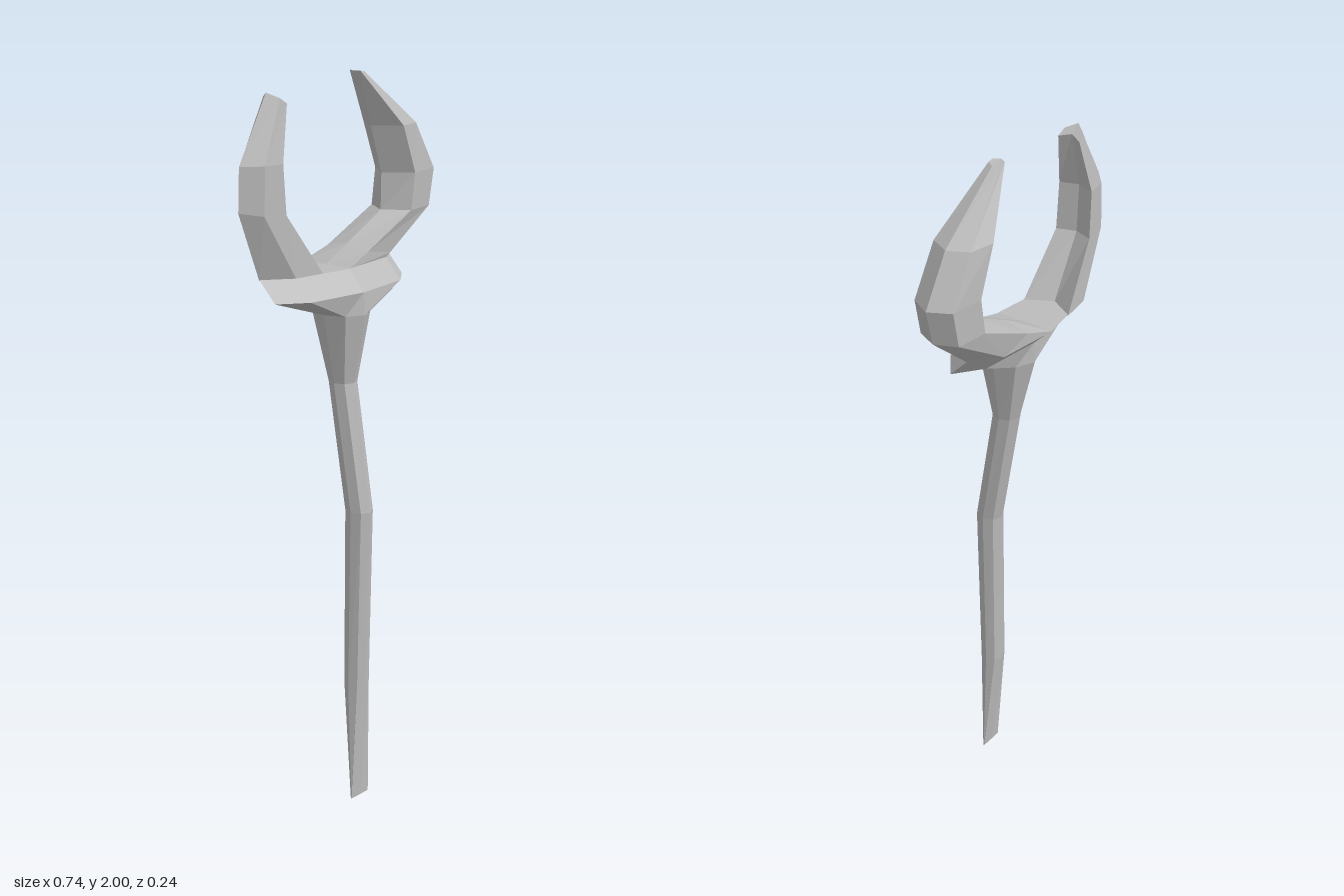
import * as THREE from 'three';

const MID_X = -0.046;
const HORN_Z = -0.038;

// Skins a list of equal-length rings (each counter-clockwise seen from above).
function loft(name, rings, material, capBottom = false) {
  const n = rings[0].length;
  const pos = [];
  const tri = (a, b, c) => pos.push(...a, ...b, ...c);
  for (let r = 0; r < rings.length - 1; r++) {
    const lo = rings[r], hi = rings[r + 1];
    for (let i = 0; i < n; i++) {
      const j = (i + 1) % n;
      tri(lo[i], lo[j], hi[j]);
      tri(lo[i], hi[j], hi[i]);
    }
  }
  const top = rings[rings.length - 1], bottom = rings[0];
  for (let i = 1; i < n - 1; i++) {
    tri(top[0], top[i], top[i + 1]);
    if (capBottom) tri(bottom[0], bottom[i + 1], bottom[i]);
  }
  const geo = new THREE.BufferGeometry();
  geo.setAttribute('position', new THREE.Float32BufferAttribute(pos, 3));
  geo.computeVertexNormals();
  const mesh = new THREE.Mesh(geo, material);
  mesh.name = name;
  return mesh;
}

// Octagonal ring with a corner facing the front.
function octagon([y, z, rx, rz]) {
  return Array.from({ length: 8 }, (_, i) => {
    const a = (i * Math.PI) / 4;
    return [MID_X + rx * Math.cos(a), y, z - rz * Math.sin(a)];
  });
}

// Six-sided horn ring: inner ridge, inner sides, outer sides, outer ridge.
// inner / outer are [x, y]; innerSide / outerSide are [x, y, half depth].
function hornRing(side, [inner, innerSide, outerSide, outer]) {
  const at = ([x, y, d = 0], s = 0) => [x, y, HORN_Z + s * side * d];
  return [at(inner), at(innerSide, 1), at(outerSide, 1), at(outer), at(outerSide, -1), at(innerSide, -1)];
}

export function createModel() {
  const group = new THREE.Group();
  group.name = 'hornedStaff';
  const grey = new THREE.MeshStandardMaterial({ color: 0xbbbbbb, flatShading: true });
  grey.name = 'grey';

  // Bent shaft, flattened to a chisel edge at the foot: [y, z, rx, rz]
  const shaft = [
    [0.345, 0.073, 0.035, 0.033],
    [0.85, 0.081, 0.035, 0.039],
    [1.2, 0.024, 0.037, 0.039],
    [1.39, 0.018, 0.07, 0.082],
  ].map(octagon);
  const foot = octagon([0, 0.084, 0.035, 0.002]).map(([x, y, z]) => {
    const dx = x - MID_X;
    return [MID_X + (Math.abs(dx) > 0.01 ? Math.sign(dx) * 0.035 : 0), y, z];
  });
  group.add(loft('shaft', [foot, ...shaft], grey, true));

  // Flared collar whose rim leans backward
  const collar = [
    [1.39, 0.018, 0.07, 0.082],
    [1.45, 0.016, 0.252, 0.08],
    [1.505, -0.037, 0.252, 0.082],
  ].map(octagon);
  group.add(loft('collar', collar, grey));

  // Long horn on the model's left
  const longHorn = [
    [[-0.046, 1.503], [-0.044, 1.503, 0.082], [0.132, 1.503, 0.058], [0.206, 1.503]],
    [[0.045, 1.55], [0.045, 1.535, 0.071], [0.15, 1.515, 0.059], [0.216, 1.512]],
    [[0.18, 1.62], [0.225, 1.62, 0.07], [0.315, 1.62, 0.058], [0.342, 1.62]],
    [[0.182, 1.72], [0.24, 1.72, 0.07], [0.335, 1.72, 0.058], [0.366, 1.72]],
    [[0.138, 1.85], [0.19, 1.85, 0.07], [0.26, 1.85, 0.055], [0.287, 1.85]],
    [[0.062, 2.0], [0.073, 2.0, 0.018], [0.09, 1.997, 0.018], [0.1, 1.995]],
  ].map((r) => hornRing(1, r));
  group.add(loft('longHorn', longHorn, grey));

  // Short horn on the model's right, with a hollow inner side
  const shortHorn = [
    [[-0.172, 1.503], [-0.132, 1.503, 0.07], [-0.222, 1.503, 0.058], [-0.298, 1.503]],
    [[-0.268, 1.67], [-0.25, 1.67, 0.052], [-0.32, 1.675, 0.042], [-0.37, 1.685]],
    [[-0.275, 1.8], [-0.258, 1.8, 0.05], [-0.315, 1.8, 0.042], [-0.365, 1.8]],
    [[-0.237, 1.953], [-0.223, 1.945, 0.032], [-0.245, 1.96, 0.028], [-0.265, 1.973]],
  ].map((r) => hornRing(-1, r));
  group.add(loft('shortHorn', shortHorn, grey));

  return group;
}
